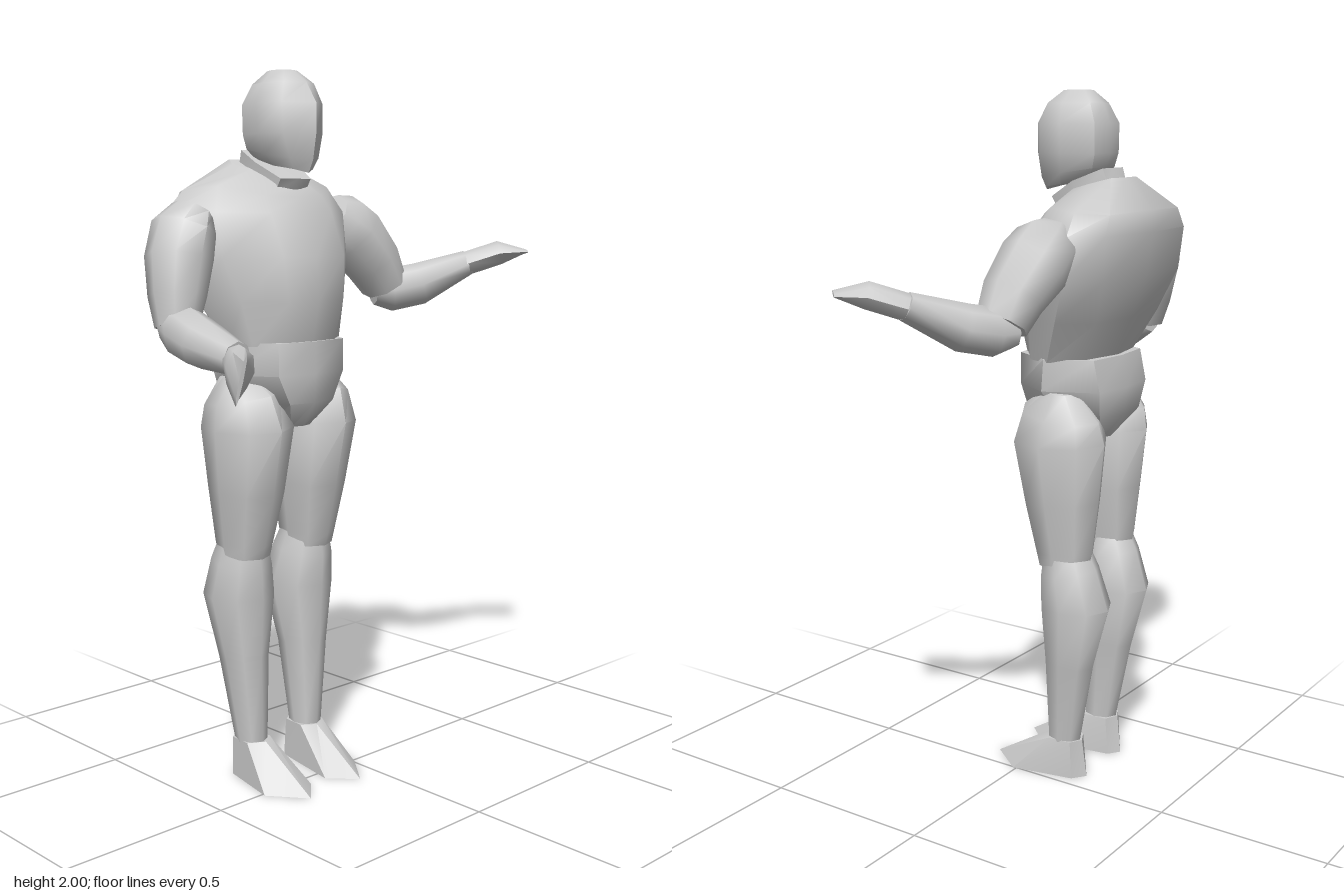
import * as THREE from 'three';
import { toCreasedNormals } from 'three/addons/utils/BufferGeometryUtils.js';

const CX = -0.173; // body's plane of symmetry
const V = (x, y, z) => new THREE.Vector3(x, y, z);
const material = new THREE.MeshStandardMaterial({ color: 0xcccccc });

// Skin a stack of equal-length rings (counter-clockwise about the stacking direction) and cap both ends
function loft(name, rings, crease = 0.95) {
  const n = rings[0].length, last = rings.length - 1;
  const points = rings.flat(), index = [];
  for (let i = 0; i < last; i++) {
    for (let j = 0; j < n; j++) {
      const a = i * n + j, b = i * n + (j + 1) % n;
      index.push(a, b, b + n, a, b + n, a + n);
    }
  }
  for (const [r, flip] of [[0, true], [last, false]]) {
    const centre = points.length;
    points.push(rings[r].reduce((s, p) => s.add(p), V(0, 0, 0)).divideScalar(n));
    for (let j = 0; j < n; j++) {
      const a = r * n + j, b = r * n + (j + 1) % n;
      index.push(centre, flip ? b : a, flip ? a : b);
    }
  }
  const geometry = new THREE.BufferGeometry().setFromPoints(points);
  geometry.setIndex(index);
  const mesh = new THREE.Mesh(toCreasedNormals(geometry, crease), material);
  mesh.name = name;
  return mesh;
}

// Ring mirrored about the body's middle; half outline runs front centre to back centre as [dx, y, z]
function mirrored(half) {
  const left = half.map(([x, y, z]) => V(CX + x, y, z));
  const right = half.slice(1, -1).reverse().map(([x, y, z]) => V(CX - x, y, z));
  return [...left, ...right];
}
const level = (y, half) => mirrored(half.map(([x, z]) => [x, y, z]));

// Elliptical limb along a path of [x, y, z, radius along ref, other radius]
function limb(name, path, ref, sides = 8) {
  const centres = path.map(p => V(p[0], p[1], p[2]));
  const rings = path.map((p, i) => {
    const t = centres[Math.min(i + 1, path.length - 1)].clone()
      .sub(centres[Math.max(i - 1, 0)]).normalize();
    const u = ref.clone().addScaledVector(t, -ref.dot(t)).normalize();
    const v = t.clone().cross(u);
    return Array.from({ length: sides }, (_, k) => {
      const a = k / sides * Math.PI * 2;
      return centres[i].clone().addScaledVector(u, p[3] * Math.cos(a)).addScaledVector(v, p[4] * Math.sin(a));
    });
  });
  return loft(name, rings);
}

function buildBody(group) {
  // Torso: narrow at the front, broad across the back
  group.add(loft('torso', [
    level(1.26, [[0, 0.025], [0.09, 0.015], [0.16, -0.04], [0.185, -0.11], [0.13, -0.2], [0, -0.225]]),
    level(1.38, [[0, 0.052], [0.1, 0.042], [0.19, -0.05], [0.24, -0.17], [0.17, -0.26], [0, -0.275]]),
    level(1.5, [[0, 0.045], [0.11, 0.035], [0.23, -0.08], [0.295, -0.23], [0.21, -0.305], [0, -0.32]]),
    level(1.62, [[0, 0], [0.11, -0.015], [0.235, -0.1], [0.295, -0.24], [0.22, -0.315], [0, -0.335]]),
    mirrored([[0, 1.66, -0.025], [0.1, 1.665, -0.045], [0.2, 1.69, -0.13], [0.24, 1.68, -0.23],
      [0.19, 1.675, -0.31], [0, 1.68, -0.333]]),
    mirrored([[0, 1.69, -0.05], [0.05, 1.7, -0.06], [0.085, 1.735, -0.13], [0.1, 1.75, -0.19],
      [0.07, 1.765, -0.24], [0, 1.765, -0.245]]),
  ]));

  // Pelvis, narrowing between the legs
  group.add(loft('pelvis', [
    level(1.03, [[0, -0.015], [0.035, -0.025], [0.045, -0.11], [0.035, -0.2], [0, -0.21]]),
    level(1.1, [[0, 0.033], [0.08, 0.02], [0.125, -0.1], [0.11, -0.24], [0, -0.255]]),
    level(1.18, [[0, 0.037], [0.12, 0.02], [0.197, -0.1], [0.13, -0.25], [0, -0.265]]),
    level(1.27, [[0, 0.037], [0.12, 0.02], [0.187, -0.1], [0.13, -0.23], [0, -0.245]]),
  ]));

  // Neck, tilted forward
  group.add(loft('neck', [
    mirrored([[0, 1.66, -0.05], [0.055, 1.67, -0.065], [0.075, 1.71, -0.14], [0.05, 1.75, -0.22], [0, 1.75, -0.225]]),
    mirrored([[0, 1.71, -0.03], [0.055, 1.71, -0.04], [0.078, 1.755, -0.12], [0.055, 1.79, -0.205], [0, 1.79, -0.205]]),
  ]));

  // Head with a ridge down the face
  group.add(loft('head', [
    mirrored([[0, 1.725, 0.012], [0.035, 1.735, -0.01], [0.055, 1.745, -0.07], [0.045, 1.765, -0.155], [0, 1.765, -0.16]]),
    mirrored([[0, 1.76, 0.03], [0.052, 1.765, -0.005], [0.077, 1.775, -0.08], [0.06, 1.79, -0.175], [0, 1.79, -0.185]]),
    level(1.83, [[0, 0.043], [0.072, -0.01], [0.094, -0.09], [0.065, -0.185], [0, -0.195]]),
    level(1.91, [[0, 0.043], [0.075, -0.012], [0.098, -0.09], [0.067, -0.185], [0, -0.195]]),
    level(1.965, [[0, 0.005], [0.055, -0.025], [0.075, -0.085], [0.05, -0.16], [0, -0.17]]),
    level(2.0, [[0, -0.05], [0.025, -0.06], [0.038, -0.09], [0.025, -0.125], [0, -0.13]]),
  ]));
}

function buildLeg(group, side, label) {
  const ref = V(1, 0, 0);
  const place = rows => rows.map(([x, ...rest]) => [CX + side * x, ...rest]);
  group.add(limb(label + 'Thigh', place([
    [0.12, 0.66, -0.135, 0.068, 0.08],
    [0.12, 0.7, -0.135, 0.074, 0.09],
    [0.118, 0.85, -0.125, 0.098, 0.118],
    [0.12, 1.03, -0.115, 0.116, 0.147],
    [0.13, 1.11, -0.125, 0.092, 0.125],
    [0.14, 1.18, -0.135, 0.05, 0.045],
  ]), ref));
  group.add(limb(label + 'Shin', place([
    [0.105, 0.11, -0.13, 0.042, 0.052],
    [0.113, 0.36, -0.15, 0.066, 0.078],
    [0.113, 0.54, -0.17, 0.097, 0.108],
    [0.117, 0.64, -0.15, 0.084, 0.09],
    [0.118, 0.7, -0.14, 0.07, 0.07],
  ]), ref));

  // Foot: pointed wedge sole rising to the ankle
  const sole = [[0.097, 0.115], [0.177, 0.01], [0.14, -0.175], [0.1, -0.205], [0.065, -0.18], [0.028, 0.04]];
  const ankle = [[0.1, -0.072], [0.147, -0.1], [0.142, -0.17], [0.105, -0.19], [0.065, -0.17], [0.06, -0.1]];
  const rings = [[sole, 0], [ankle, 0.115]].map(([ring, y]) => {
    const points = ring.map(([x, z]) => V(CX + side * x, y, z));
    return side < 0 ? points.reverse() : points;
  });
  group.add(loft(label + 'Foot', rings, 0.7));
}

function buildArms(group) {
  // Left arm, stretched out sideways with the hand flat
  group.add(limb('leftUpperArm', [
    [0.07, 1.62, -0.165, 0.06, 0.065],
    [0.11, 1.59, -0.17, 0.096, 0.092],
    [0.16, 1.55, -0.165, 0.1, 0.1],
    [0.23, 1.47, -0.145, 0.085, 0.088],
    [0.275, 1.4, -0.14, 0.068, 0.075],
  ], V(0.8, 0.6, 0)));
  group.add(limb('leftForearm', [
    [0.25, 1.385, -0.16, 0.045, 0.05],
    [0.295, 1.385, -0.135, 0.065, 0.068],
    [0.37, 1.402, -0.085, 0.064, 0.064],
    [0.5, 1.465, -0.002, 0.038, 0.045],
  ], V(0, 1, 0)));
  group.add(limb('leftHand', [
    [0.495, 1.462, -0.005, 0.046, 0.036],
    [0.565, 1.495, 0.068, 0.06, 0.036],
    [0.622, 1.5, 0.128, 0.064, 0.005],
  ], V(0.7, 0, -0.7)));

  // Right arm, hanging with the forearm forward and the hand on edge
  group.add(limb('rightUpperArm', [
    [-0.445, 1.625, -0.15, 0.05, 0.07],
    [-0.475, 1.58, -0.15, 0.08, 0.1],
    [-0.497, 1.5, -0.145, 0.088, 0.1],
    [-0.52, 1.4, -0.125, 0.075, 0.085],
    [-0.535, 1.32, -0.11, 0.055, 0.065],
  ], V(1, 0, 0)));
  group.add(limb('rightForearm', [
    [-0.535, 1.325, -0.13, 0.045, 0.05],
    [-0.535, 1.31, -0.07, 0.07, 0.07],
    [-0.54, 1.285, 0.01, 0.066, 0.068],
    [-0.555, 1.26, 0.16, 0.045, 0.042],
  ], V(0, 1, 0)));
  group.add(limb('rightHand', [
    [-0.555, 1.258, 0.155, 0.04, 0.036],
    [-0.612, 1.243, 0.24, 0.058, 0.036],
    [-0.665, 1.228, 0.308, 0.067, 0.005],
  ], V(0, 1, 0.35)));
}

export function createModel() {
  const group = new THREE.Group();
  group.name = 'figure';
  buildBody(group);
  buildLeg(group, 1, 'left');
  buildLeg(group, -1, 'right');
  buildArms(group);
  return group;
}
